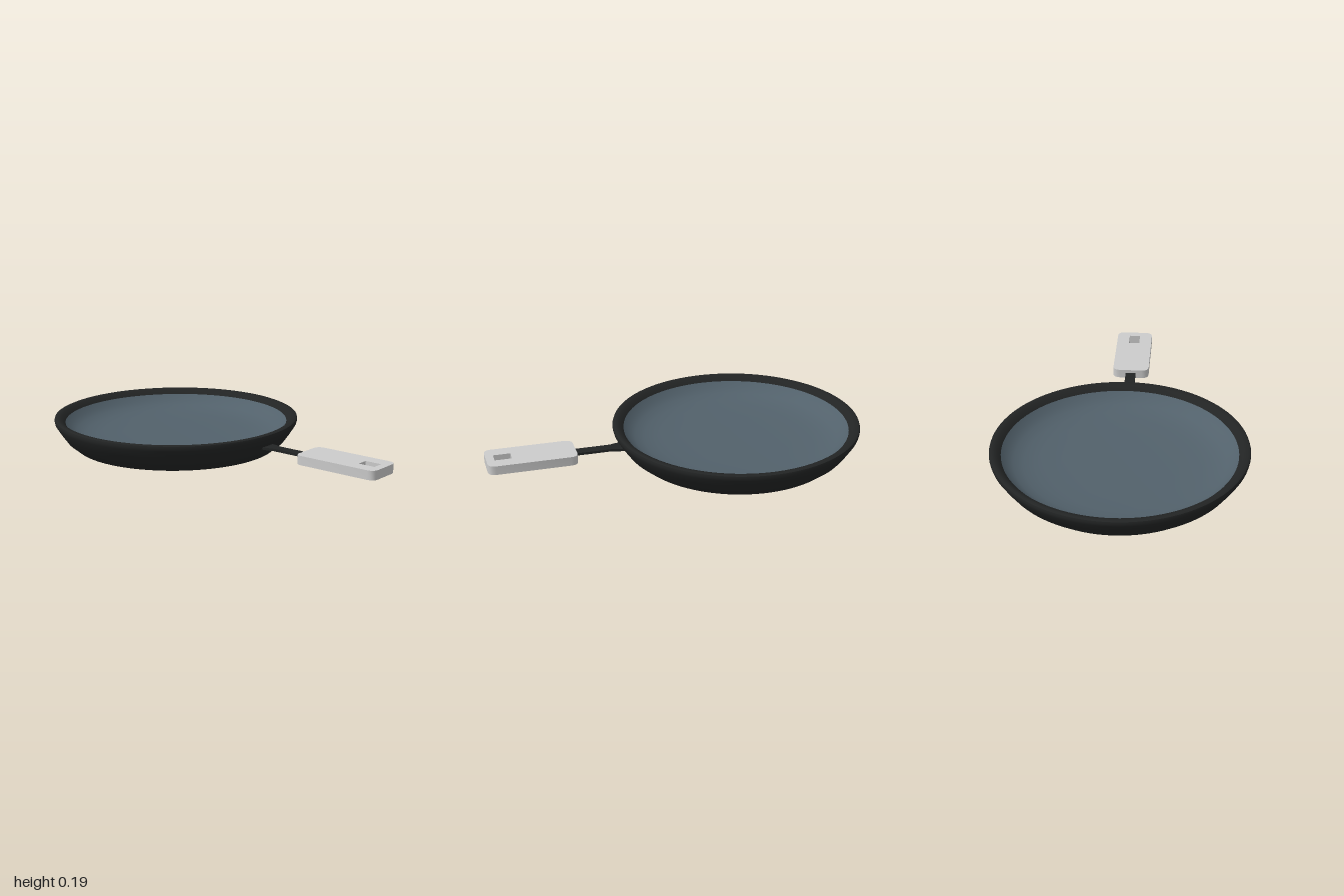
import * as THREE from 'three';
import { toCreasedNormals } from 'three/addons/utils/BufferGeometryUtils.js';

const PAN_Z = -0.341;

const paint = (color) => new THREE.MeshStandardMaterial({ color });

function addMesh(group, name, geometry, material) {
  const mesh = new THREE.Mesh(geometry, material);
  mesh.name = name;
  group.add(mesh);
  return mesh;
}

// Revolved profile, given as [radius, height] pairs
function lathe(profile) {
  const points = profile.map(([r, y]) => new THREE.Vector2(r, y));
  return toCreasedNormals(new THREE.LatheGeometry(points, 96), 0.75);
}

// Plan outline (x, z) extruded downwards from height top
function slab(shape, top, thickness) {
  const geometry = new THREE.ExtrudeGeometry(shape, { depth: thickness, bevelEnabled: false, curveSegments: 4 });
  geometry.rotateX(Math.PI / 2).translate(0, top, 0);
  return toCreasedNormals(geometry, 0.6);
}

function roundedRect(x, z0, z1, r) {
  const s = new THREE.Shape();
  s.moveTo(-x + r, z0);
  s.lineTo(x - r, z0);
  s.quadraticCurveTo(x, z0, x, z0 + r);
  s.lineTo(x, z1 - r);
  s.quadraticCurveTo(x, z1, x - r, z1);
  s.lineTo(-x + r, z1);
  s.quadraticCurveTo(-x, z1, -x, z1 - r);
  s.lineTo(-x, z0 + r);
  s.quadraticCurveTo(-x, z0, -x + r, z0);
  return s;
}

export function createModel() {
  const group = new THREE.Group();
  group.name = 'fryingPan';
  const black = paint(0x222424);

  // Outer body, rolled over the rim to the cooking surface
  const body = lathe([
    [0, 0], [0.3, 0.001], [0.41, 0.006], [0.545, 0.025], [0.595, 0.066],
    [0.628, 0.112], [0.655, 0.155], [0.659, 0.172], [0.656, 0.182],
    [0.645, 0.187], [0.622, 0.181], [0.6, 0.158],
  ]);
  addMesh(group, 'panBody', body, black).position.z = PAN_Z;

  // Coated interior, a shallow dish
  const interior = lathe([
    [0.6, 0.158], [0.575, 0.13], [0.54, 0.108], [0.49, 0.092],
    [0.42, 0.082], [0.3, 0.076], [0.15, 0.073], [0, 0.072],
  ]);
  addMesh(group, 'cookingSurface', interior, paint(0x52616b)).position.z = PAN_Z;

  // Thin neck, flared where it meets the pan
  const neck = new THREE.Shape([
    [-0.045, 0.26], [0.045, 0.26], [0.038, 0.315], [0.028, 0.345],
    [0.028, 0.56], [-0.028, 0.56], [-0.028, 0.345], [-0.038, 0.315],
  ].map(([x, z]) => new THREE.Vector2(x, z)));
  addMesh(group, 'handleNeck', slab(neck, 0.117, 0.013), black);

  // Flat grip with a hanging hole
  const grip = roundedRect(0.1, 0.535, 1, 0.04);
  grip.holes.push(new THREE.Path([
    [-0.03, 0.868], [-0.03, 0.958], [0.03, 0.958], [0.03, 0.868],
  ].map(([x, z]) => new THREE.Vector2(x, z))));
  addMesh(group, 'handleGrip', slab(grip, 0.135, 0.048), paint(0xcccccc));

  return group;
}
